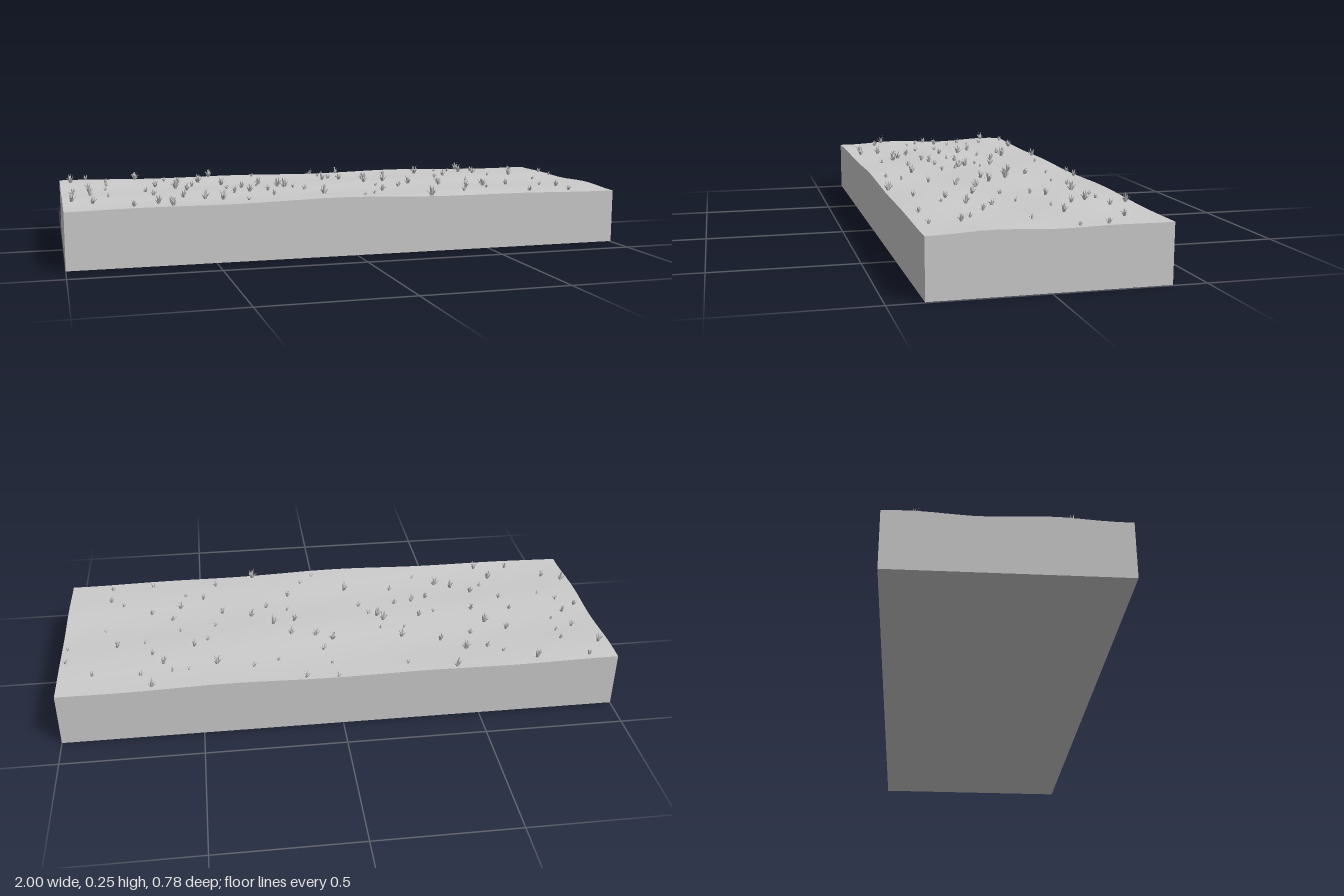
import * as THREE from 'three';

// Positions of the tufts on the ground, in hundredths: x, z
const LARGE = [
  -41, -37, 13, -37, 67, -36, -71, -35, -96, -28, -55, -25, -47, -25, 63, -23, 88, -27, 44, -25,
  -58, -8, -65, -14, 1, -14, 7, -11, 16, -9, -39, -18, -25, -14, 52, -13, 80, -10, -90, -4,
  -20, -2, -18, 1, -34, -1, -96, 0, 14, 0, 22, -1, -55, 1, -39, 12, -33, 10, 30, 6,
  41, 10, 68, 13, 57, 16, -97, 20, -90, 24, -58, 15, -51, 20, -45, 23, -68, 26, -77, 33,
  -64, 34, -8, 22, 15, 20, 48, 21, 43, 31, 28, 37, 84, 24,
];
const SMALL = [
  -90, -36, 2, -38, -83, -24, -60, -29, -24, -33, 31, -28, 54, -28, 60, -28, 71, -29, 98, -18,
  3, -29, 5, -20, 22, -25, -83, -18, -90, -15, -84, -9, -51, -15, -27, -8, -18, -8, -15, 3,
  -40, 1, -90, 5, -70, 0, -26, 9, -12, 9, -84, 10, -68, 9, -63, 20, -37, 29, -26, 20,
  9, 29, 55, 24, 44, 1, 47, -9, 85, 2, 84, 34, 79, 20, 68, 34, 24, 12, 16, 9,
  4, 34, 67, -17, 70, -9, 57, -1, 60, 8, 98, -9,
];

let seed = 7;
const rand = () => (seed = (seed * 16807) % 2147483647) / 2147483647;
const range = (a, b) => a + (b - a) * rand();

// Gently rolling height of the ground
function groundHeight(x, z) {
  return 0.205 + 0.003 * Math.sin(4.2 * x + 3 * z + 0.6)
    + 0.0025 * Math.sin(9 * x - 11 * z) + 0.003 * Math.cos(16 * z + 2.5 * x + 0.6);
}

function makeSlab(material) {
  const bottom = 0.005;
  const geo = new THREE.BoxGeometry(2, 0.2, 0.77, 32, 1, 14);
  const p = geo.attributes.position;
  for (let i = 0; i < p.count; i++) {
    p.setY(i, p.getY(i) > 0 ? groundHeight(p.getX(i), p.getZ(i)) : bottom);
  }
  geo.computeVertexNormals();
  const mesh = new THREE.Mesh(geo, material);
  mesh.name = 'groundSlab';
  return mesh;
}

// Adds one folded, tapering blade that bends outward from the tuft's middle
function addBlade(pos, index, angle, height, lean, width) {
  const out = [Math.cos(angle), Math.sin(angle)];
  const side = [-out[1], out[0]];
  const start = pos.length / 3;
  const widths = [0.6, 1, 0.75, 0.04];
  widths.forEach((w, row) => {
    const t = row / (widths.length - 1);
    const r = 0.003 + lean * Math.pow(t, 1.6);
    const y = -0.002 + height * t * (1.12 - 0.12 * t);
    for (const s of [-1, 0, 1]) {
      const rr = r + (s === 0 ? width * w * 0.25 : 0);
      const d = s * width * w * 0.5;
      pos.push(out[0] * rr + side[0] * d, y, out[1] * rr + side[1] * d);
    }
    if (row === 0) return;
    for (let k = 0; k < 2; k++) {
      const a = start + (row - 1) * 3 + k, b = a + 3;
      index.push(a, b, a + 1, a + 1, b, b + 1);
    }
  });
}

function makeTuft(count, height, spread) {
  const pos = [], index = [];
  for (let i = 0; i < count; i++) {
    const inner = i % 3 === 0;
    const angle = (i / count) * Math.PI * 2 + range(-0.3, 0.3);
    const h = height * (inner ? range(0.8, 1) : range(0.4, 0.75));
    addBlade(pos, index, angle, h, spread * (inner ? range(0.2, 0.5) : range(0.6, 1)), height * 0.2);
  }
  const geo = new THREE.BufferGeometry();
  geo.setAttribute('position', new THREE.Float32BufferAttribute(pos, 3));
  geo.setIndex(index);
  geo.computeVertexNormals();
  return geo;
}

export function createModel() {
  const model = new THREE.Group();
  const ground = new THREE.MeshStandardMaterial({ color: 0xcccccc });
  const leaf = new THREE.MeshStandardMaterial({ color: 0xcccccc, side: THREE.DoubleSide });
  model.add(makeSlab(ground));

  // Grass tufts: a few shapes of each size, turned and scaled
  const scatter = (name, spots, shapes, minScale) => {
    const group = new THREE.Group();
    group.name = name;
    for (let i = 0; i < spots.length; i += 2) {
      const x = spots[i] / 100, z = spots[i + 1] / 100;
      const tuft = new THREE.Mesh(shapes[(i / 2) % shapes.length], leaf);
      tuft.name = 'grassTuft';
      tuft.position.set(x, groundHeight(x, z), z);
      tuft.rotation.y = range(0, Math.PI * 2);
      tuft.scale.setScalar(range(minScale, 1));
      group.add(tuft);
    }
    model.add(group);
  };
  scatter('largeTufts', LARGE, [0, 1, 2, 3].map(i => makeTuft(9 + i, 0.042, 0.02)), 0.65);
  scatter('smallTufts', SMALL, [0, 1, 2].map(i => makeTuft(7 + i, 0.028, 0.014)), 0.6);

  // Stray blade tips poking out of the underside
  const stray = new THREE.Mesh(makeTuft(6, 0.007, 0.012), leaf);
  stray.name = 'undersideTips';
  stray.position.set(-0.6, 0.007, 0.13);
  stray.rotation.x = Math.PI;
  model.add(stray);
  return model;
}
